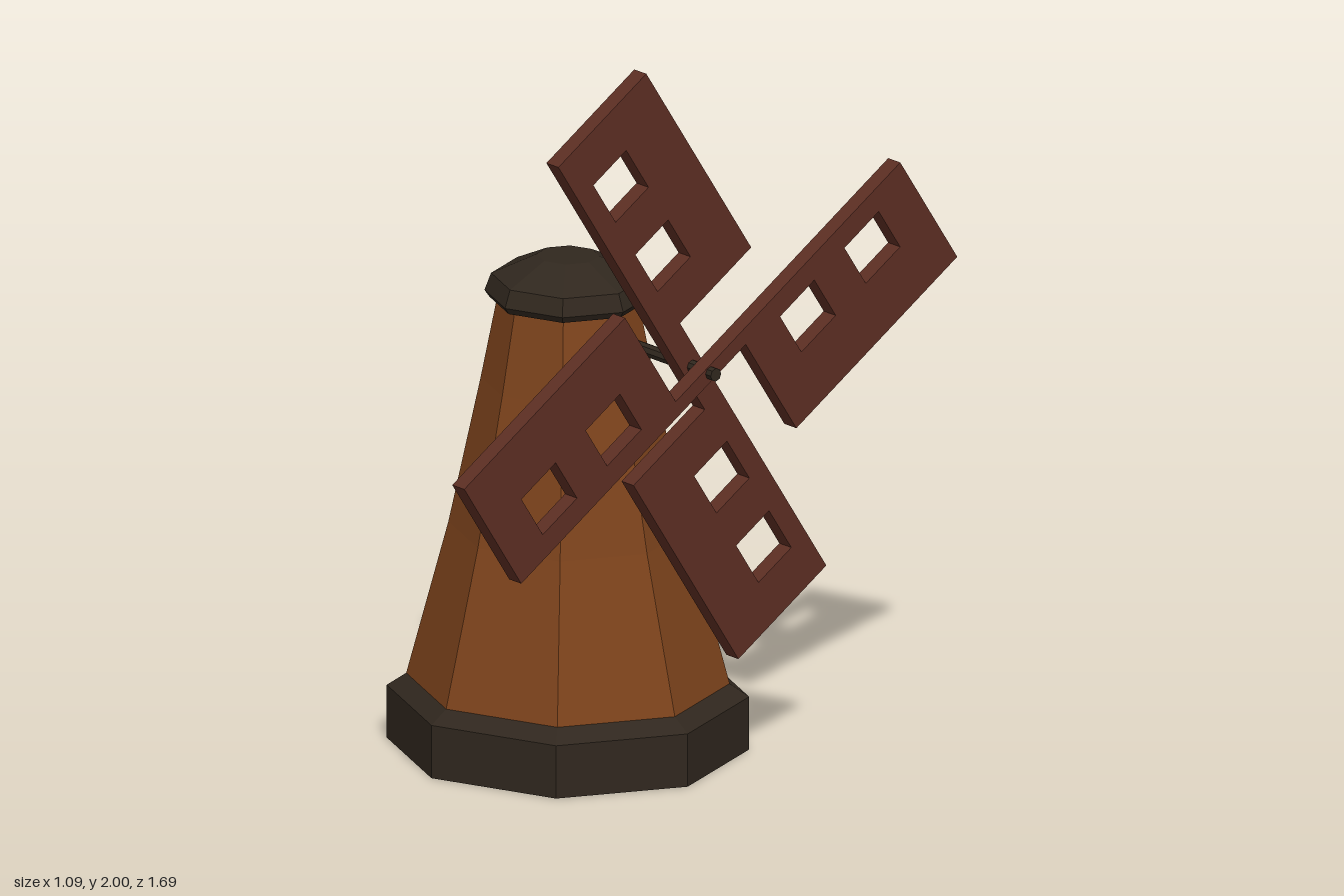
import * as THREE from 'three';

const mat = (color) => new THREE.MeshStandardMaterial({ color, flatShading: true });

export function createModel() {
  const model = new THREE.Group();
  model.name = 'windmill';
  const wood = mat(0x7d431c), dark = mat(0x30271e), sailWood = mat(0x5c2e23);

  const add = (parent, name, geometry, material) => {
    const mesh = new THREE.Mesh(geometry, material);
    mesh.name = name;
    parent.add(mesh);
    return mesh;
  };

  // Eight-sided body, a little narrower in depth than in width
  const body = new THREE.Group();
  body.name = 'body';
  body.position.x = -0.058;
  body.scale.z = 0.957;
  model.add(body);
  const turned = (name, profile, material) => add(body, name,
    new THREE.LatheGeometry(profile.map(([r, y]) => new THREE.Vector2(r, y)), 8), material);

  turned('base', [[0.488, 0], [0.488, 0.145], [0.435, 0.18]], dark);
  turned('tower', [[0.436, 0.178], [0.322, 0.6], [0.235, 1.0], [0.19, 1.225]], wood);
  turned('cap', [[0.185, 1.22], [0.212, 1.222], [0.225, 1.24], [0.207, 1.287], [0.085, 1.343], [0, 1.343]], dark);
  add(body, 'floor', new THREE.CircleGeometry(0.488, 8), wood).rotation.x = Math.PI / 2;

  // Axle
  const hubY = 1.16;
  const axle = add(model, 'axle', new THREE.CylinderGeometry(0.018, 0.018, 0.47, 8), dark);
  axle.rotation.z = Math.PI / 2;
  axle.position.set(0.31, hubY, 0);

  // A pair of opposite sails on one spar; each panel hangs to one side of it
  const sailPair = (name, x, angle, spar, reach) => {
    const outer = 0.787, inner = 0.13;
    const half = [[outer, spar], [inner, spar], [-inner, spar], [-inner, reach], [-outer, reach]];
    const outline = [...half, ...half.map(([u, v]) => [-u, -v])];
    const toPoints = (list) => list.map(([u, v]) => new THREE.Vector2(u, v));
    const shape = new THREE.Shape(toPoints(outline));

    // Two square windows in each panel
    const v0 = 0.06 - spar, v1 = 0.194 - spar;
    for (const side of [1, -1]) {
      for (const u of [0.257, 0.52]) {
        const hole = [[u, -v0], [u + 0.14, -v0], [u + 0.14, -v1], [u, -v1]];
        shape.holes.push(new THREE.Path(toPoints(hole.map(([a, b]) => [a * side, b * side]))));
      }
    }
    const geometry = new THREE.ExtrudeGeometry(shape, { depth: 0.049, bevelEnabled: false });
    const sails = add(model, name, geometry, sailWood);
    sails.rotation.set(0, Math.PI / 2, angle);
    sails.position.set(x, hubY, 0);
  };
  const tilt = THREE.MathUtils.degToRad(33.1);
  sailPair('innerSails', 0.4, tilt + Math.PI / 2, 0.034, 0.325);
  sailPair('outerSails', 0.475, tilt, 0.02, 0.337);

  return model;
}
